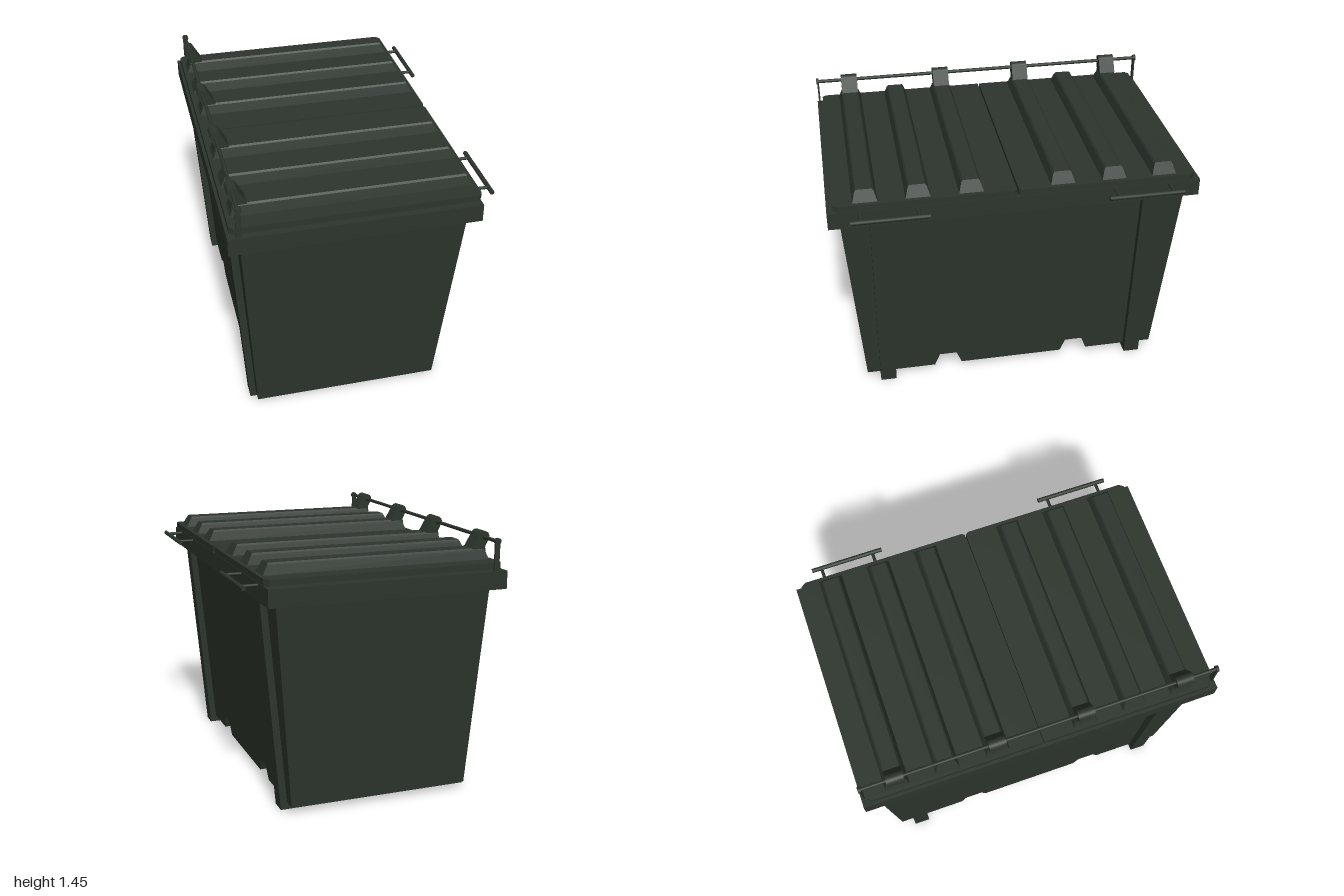
import * as THREE from 'three';

const lerp = THREE.MathUtils.lerp;

// Runs a side profile, given as [z, y] points, along x between two ends that may slope with height
function prism(points, xMin, xMax) {
  const shape = new THREE.Shape(points.map(([z, y]) => new THREE.Vector2(-z, y)));
  const geo = new THREE.ExtrudeGeometry(shape, { depth: 1, bevelEnabled: false });
  geo.rotateY(Math.PI / 2);
  const p = geo.attributes.position;
  for (let i = 0; i < p.count; i++) {
    const y = p.getY(i);
    p.setX(i, lerp(xMin(y), xMax(y), p.getX(i)));
  }
  geo.computeVertexNormals();
  return geo;
}

// Straight line in height: value a at y0, b at y1
const slope = (y0, a, y1, b) => (y) => lerp(a, b, (y - y0) / (y1 - y0));

export function createModel() {
  const model = new THREE.Group();
  const green = new THREE.MeshStandardMaterial({ color: 0x2c352d });
  green.name = 'dark green';

  function add(name, geo, x = 0, y = 0, z = 0) {
    const mesh = new THREE.Mesh(geo, green);
    mesh.name = name;
    mesh.position.set(x, y, z);
    model.add(mesh);
    return mesh;
  }
  const box = (name, x0, x1, y0, y1, z0, z1) =>
    add(name, new THREE.BoxGeometry(x1 - x0, y1 - y0, z1 - z0),
      (x0 + x1) / 2, (y0 + y1) / 2, (z0 + z1) / 2);

  // Tapered body with two lifting channels through the underside
  add('body', prism([
    [-0.86, 0.04], [-0.46, 0.04], [-0.43, 0.12], [-0.33, 0.12], [-0.3, 0.04],
    [0.3, 0.04], [0.33, 0.12], [0.43, 0.12], [0.46, 0.04], [0.86, 0.04],
    [0.94, 1.18], [-0.94, 1.18],
  ], slope(0.04, -0.575, 1.17, -0.642), slope(0.04, 0.445, 1.17, 0.548)));

  // Top rim
  box('rim', -0.71, 0.605, 1.168, 1.265, -1, 1);

  // Arm profile that joins a lid rib to the hinge rod
  const armShape = new THREE.Shape();
  armShape.moveTo(-0.67, 1.3);
  armShape.lineTo(-0.58, 1.362);
  armShape.lineTo(-0.622, 1.435);
  armShape.absarc(-0.65, 1.424, 0.03, 0.4, Math.PI * 1.1, false);
  armShape.lineTo(-0.657, 1.37);

  for (const s of [-1, 1]) {
    // Skid wrapping both sides and the underside
    add('skid', prism([
      [s * 0.74 - 0.045, 0], [s * 0.74 + 0.045, 0],
      [s * 0.74 + 0.045, 1.17], [s * 0.74 - 0.045, 1.17],
    ], slope(0, -0.607, 1.17, -0.683), slope(0, 0.48, 1.17, 0.585)));

    // Lid panel with bevelled corners
    const lid = new THREE.Shape([
      [-0.695, 0.004], [0.6, 0.004], [0.61, 0.02], [0.61, 0.94], [0.59, 0.967],
      [-0.675, 0.967], [-0.695, 0.95],
    ].map(([x, z]) => new THREE.Vector2(x, s * z)));
    const lidGeo = new THREE.ExtrudeGeometry(lid, { depth: 0.034, bevelEnabled: false });
    add('lid', lidGeo.rotateX(-Math.PI / 2), 0, 1.271, 0);

    // Raised ribs, with hinge arms on the inner and outer ones
    for (const [z, hinged] of [[0.245, true], [0.525, false], [0.8, true]]) {
      const c = s * z;
      add('lidRib', prism([
        [c - 0.066, 1.303], [c + 0.066, 1.303], [c + 0.05, 1.355],
        [c + 0.042, 1.365], [c - 0.042, 1.365], [c - 0.05, 1.355],
      ], slope(1.303, -0.675, 1.365, -0.645), slope(1.303, 0.59, 1.365, 0.555)));
      if (hinged) {
        const arm = new THREE.ExtrudeGeometry(armShape,
          { depth: 0.094, bevelEnabled: false, curveSegments: 8 });
        add('hingeArm', arm, 0, 0, c - 0.047);
      }
    }

    // Hinge rod post and end knob
    box('hingePost', -0.665, -0.637, 1.26, 1.425, s * 0.986 - 0.005, s * 0.986 + 0.005);
    add('rodKnob', new THREE.CylinderGeometry(0.018, 0.018, 0.016, 12).rotateX(Math.PI / 2),
      -0.65, 1.422, s * 0.988);

    // Front handle: bar on two stubs
    add('handleBar', new THREE.CylinderGeometry(0.012, 0.012, 0.41, 12).rotateX(Math.PI / 2),
      0.694, 1.252, s * 0.68);
    for (const z of [0.53, 0.83]) {
      add('handleStub', new THREE.CylinderGeometry(0.009, 0.009, 0.1, 10).rotateZ(Math.PI / 2),
        0.645, 1.252, s * z);
    }
  }

  // Hinge rod
  add('hingeRod', new THREE.CylinderGeometry(0.01, 0.01, 1.99, 12).rotateX(Math.PI / 2),
    -0.65, 1.422, 0);

  return model;
}
